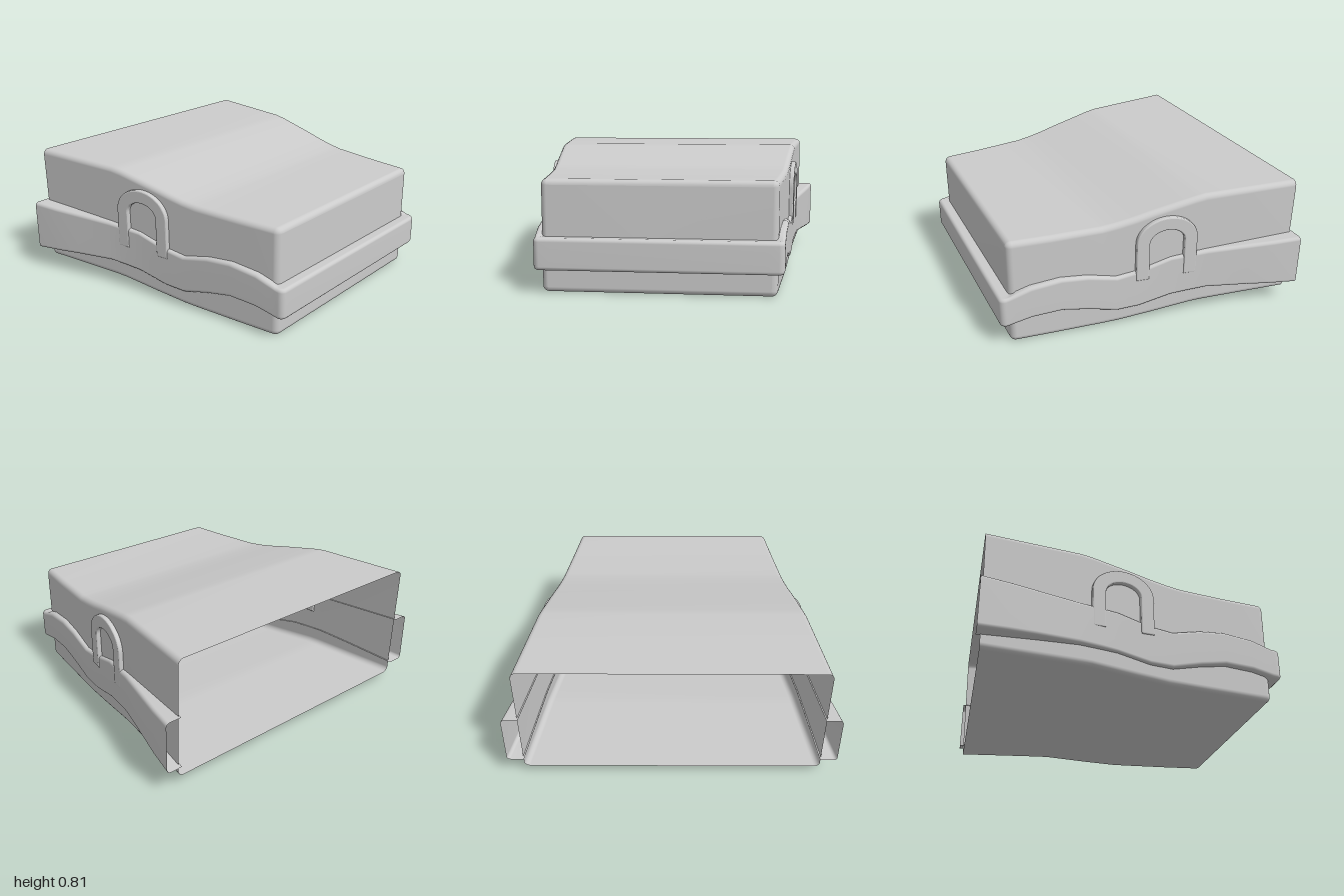
import * as THREE from 'three';

const material = new THREE.MeshStandardMaterial({ color: 0xcccccc, side: THREE.DoubleSide });

// Profiles as [z, y] or [z, x] pairs, running from front to back
const bodyTop = [[0.86, 0.67], [0.6, 0.672], [0.3, 0.68], [0.2, 0.693], [0.1, 0.712], [0, 0.735], [-0.27, 0.79], [-0.34, 0.80], [-0.92, 0.81]];
const bodyBottom = [[0.86, 0.003], [0.6, 0.005], [0.3, 0.01], [0.2, 0.013], [0, 0.03], [-0.27, 0.057], [-0.34, 0.06], [-0.92, 0.06]];
const bandTop = [[0.93, 0.335], [0.88, 0.337], [0.74, 0.382], [0.56, 0.402], [0.4, 0.388], [0.22, 0.347], [0.08, 0.365], [-0.12, 0.42], [-0.33, 0.437], [-0.93, 0.463]];
const bandBottom = [[0.93, 0.145], [0.88, 0.148], [0.74, 0.177], [0.56, 0.186], [0.4, 0.157], [0.22, 0.113], [0.08, 0.118], [-0.12, 0.16], [-0.33, 0.175], [-0.6, 0.162], [-0.93, 0.14]];
const bandWidth = [[0.93, 0.72], [0.88, 0.722], [0.2, 0.79], [-0.1, 0.822], [-0.35, 0.865], [-0.76, 0.967], [-0.93, 1.0]];
const bodyWidth = z => 0.69 + 0.125 * (0.8 - z);

function sample(profile, z) {
  if (z >= profile[0][0]) return profile[0][1];
  for (let i = 1; i < profile.length; i++) {
    const [z0, v0] = profile[i - 1], [z1, v1] = profile[i];
    if (z >= z1) return v0 + (v1 - v0) * (z - z0) / (z1 - z0);
  }
  return profile[profile.length - 1][1];
}

// Skin a row of cross-sections, each an array of [x, y, z]
function loft(rings, closed, capStart) {
  const n = rings[0].length, pos = rings.flat(2), index = [];
  for (let i = 0; i < rings.length - 1; i++) {
    for (let j = 0; j < (closed ? n : n - 1); j++) {
      const k = (j + 1) % n;
      const a = i * n + j, b = i * n + k, c = a + n, d = b + n;
      index.push(a, c, b, b, c, d);
    }
  }
  if (capStart) for (let j = 1; j < n - 1; j++) index.push(0, j, j + 1);
  const g = new THREE.BufferGeometry();
  g.setAttribute('position', new THREE.Float32BufferAttribute(pos, 3));
  g.setIndex(index);
  g.computeVertexNormals();
  return g;
}

function named(name, geometry) {
  const mesh = new THREE.Mesh(geometry, material);
  mesh.name = name;
  return mesh;
}

// Hollow tapering shell: rounded front, open back
function bodyGeometry() {
  const R = 0.035, STEPS = 5;
  const section = (z, inset, last) => {
    const w = bodyWidth(z) - inset, r = R - inset;
    const top = sample(bodyTop, z) - inset, bottom = sample(bodyBottom, z) + inset;
    const ring = [];
    [[1, 1], [-1, 1], [-1, -1], [1, -1]].forEach(([sx, sy], q) => {
      for (let k = 0; k <= STEPS; k++) {
        const a = (q + k / STEPS) * Math.PI / 2;
        const y = (sy > 0 ? top - r : bottom + r) + r * Math.sin(a);
        const lean = last ? 0.015 * (top - y) / (top - bottom) : 0;
        ring.push([sx * (w - r) + r * Math.cos(a), y, z + lean]);
      }
    });
    return ring;
  };
  const rings = [];
  for (let k = 0; k <= STEPS; k++) {
    const a = k / STEPS * Math.PI / 2;
    rings.push(section(0.86 - R * (1 - Math.sin(a)), (R - 0.002) * (1 - Math.sin(a)), false));
  }
  // Turn the fillet so it runs from the front face back to the full width
  rings.length = 0;
  for (let k = 0; k <= STEPS; k++) {
    const a = k / STEPS * Math.PI / 2;
    rings.push(section(0.86 - R * (1 - Math.cos(a)), (R - 0.002) * (1 - Math.sin(a)), false));
  }
  for (const z of [0.6, 0.45, 0.3, 0.25, 0.2, 0.1, 0, -0.14, -0.27, -0.34, -0.6, -0.92]) {
    rings.push(section(z, 0, z === -0.92));
  }
  return loft(rings, true, true);
}

// Wavy band wrapped round the sides and front, open at its back ends
function bandGeometry() {
  const half = [];
  for (const z of [-0.93, -0.76, -0.6, -0.35, -0.22, -0.12, 0, 0.08, 0.15, 0.22, 0.31, 0.4, 0.48, 0.56, 0.65, 0.74, 0.82, 0.87]) {
    half.push({ out: [sample(bandWidth, z), z], inn: [bodyWidth(z) - 0.008, Math.min(z, 0.84)] });
  }
  for (let k = 0; k <= 5; k++) {
    const a = k / 5 * Math.PI / 2;
    half.push({ out: [0.685 + 0.037 * Math.cos(a), 0.89 + 0.037 * Math.sin(a)], inn: [0.67, 0.845] });
  }
  half.push({ out: [0.62, 0.927], inn: [0.62, 0.85] });
  const mirrored = half.map(({ out, inn }) => ({ out: [-out[0], out[1]], inn: [-inn[0], inn[1]] })).reverse();
  const rings = [...half, ...mirrored].map(({ out, inn }) => {
    const top = sample(bandTop, out[1]), bottom = sample(bandBottom, out[1]);
    const dx = out[0] - inn[0], dz = out[1] - inn[1], len = Math.hypot(dx, dz);
    const r = Math.min(0.022, len * 0.6);
    const at = (d, y) => [inn[0] + dx * d / len, y, inn[1] + dz * d / len];
    const ring = [at(0, top)];
    for (let k = 0; k <= 4; k++) {
      const a = k / 4 * Math.PI / 2;
      ring.push(at(len - r + r * Math.sin(a), top - r + r * Math.cos(a)));
    }
    for (let k = 0; k <= 4; k++) {
      const a = k / 4 * Math.PI / 2;
      ring.push(at(len - r + r * Math.cos(a), bottom + r - r * Math.sin(a)));
    }
    ring.push(at(0, bottom));
    return ring;
  });
  return loft(rings, false, false);
}

// Raised arch, its legs tucked behind the band
function archGeometry() {
  const bevel = 0.008, foot = 0.31;
  const outer = 0.192 - bevel, inner = 0.11 + bevel;
  const s = new THREE.Shape();
  s.moveTo(outer, foot);
  s.lineTo(outer, 0.545);
  s.absellipse(0, 0.545, outer, 0.155 - bevel, 0, Math.PI, false);
  s.lineTo(-outer, foot);
  s.lineTo(-inner, foot);
  s.lineTo(-inner, 0.54);
  s.absellipse(0, 0.54, inner, 0.08 + bevel, Math.PI, 0, true);
  s.lineTo(inner, foot);
  return new THREE.ExtrudeGeometry(s, {
    depth: 0.025, curveSegments: 24, bevelEnabled: true, bevelSize: bevel, bevelThickness: bevel, bevelSegments: 3,
  });
}

export function createModel() {
  const model = new THREE.Group();
  model.name = 'openBackedShell';
  model.add(named('body', bodyGeometry()), named('wavyBand', bandGeometry()));

  const arch = archGeometry();
  for (const side of [1, -1]) {
    const holder = new THREE.Group();
    holder.name = side > 0 ? 'leftArch' : 'rightArch';
    const mesh = named('arch', arch);
    mesh.rotation.y = Math.PI / 2 - Math.atan(0.125);
    mesh.position.set(bodyWidth(-0.09) - 0.005, 0, -0.09);
    holder.add(mesh);
    holder.scale.x = side;
    model.add(holder);
  }
  return model;
}
